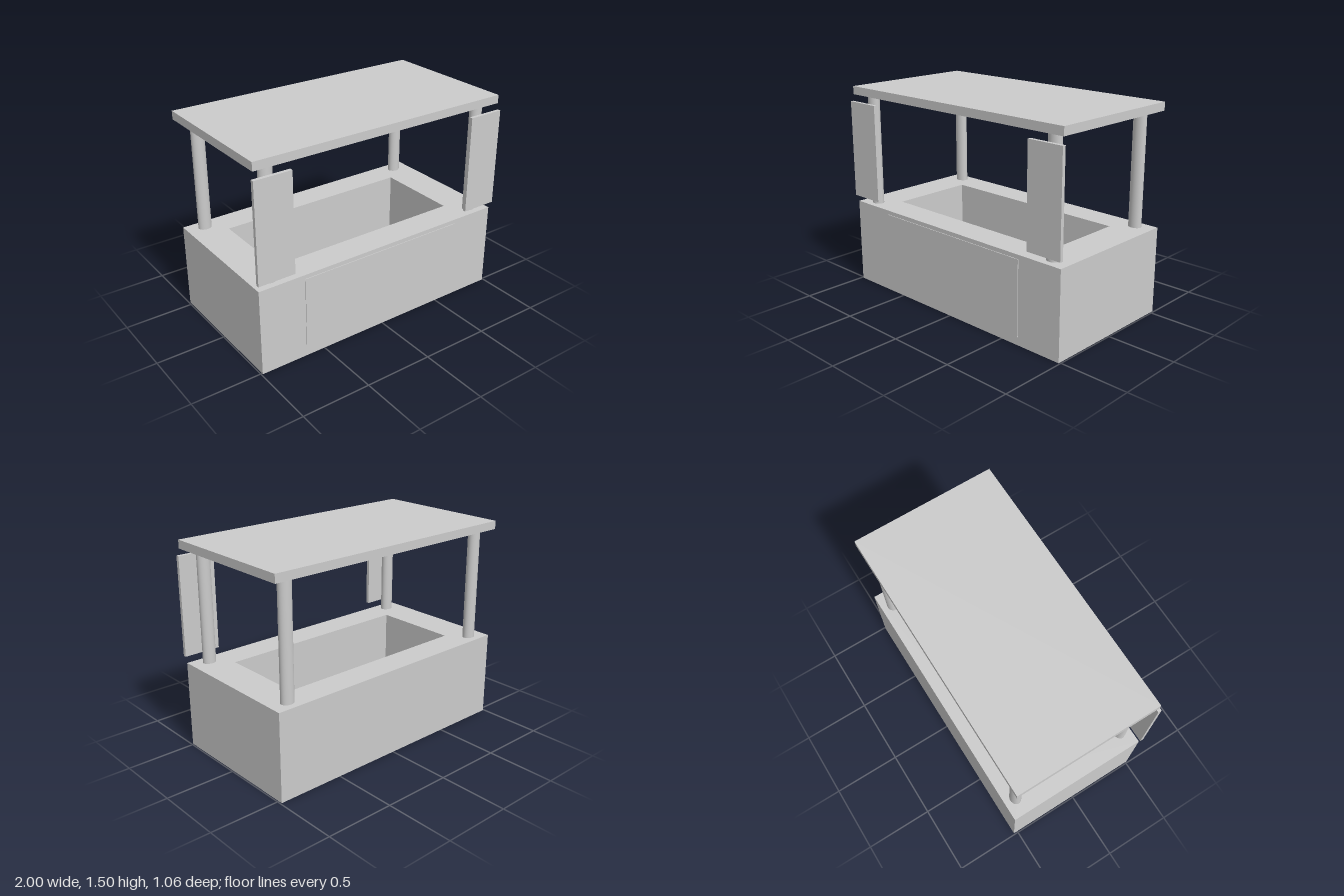
import * as THREE from 'three';

const material = new THREE.MeshStandardMaterial({ color: 0xcccccc });

// Outer footprint and central opening, as [xMin, xMax, zMin, zMax]
const OUTER = [-0.99, 0.99, -0.53, 0.51];
const OPENING = [-0.735, 0.735, -0.325, 0.3];

function add(group, name, geometry) {
  const mesh = new THREE.Mesh(geometry, material);
  mesh.name = name;
  group.add(mesh);
  return mesh;
}

// Box given by its limits on each axis
function box(group, name, [x0, x1, z0, z1], y0, y1) {
  const mesh = add(group, name, new THREE.BoxGeometry(x1 - x0, y1 - y0, z1 - z0));
  mesh.position.set((x0 + x1) / 2, (y0 + y1) / 2, (z0 + z1) / 2);
  return mesh;
}

// Corners in the shape plane, where shape y becomes -z
const corners = ([x0, x1, z0, z1]) =>
  [[x0, -z1], [x1, -z1], [x1, -z0], [x0, -z0]].map(([x, y]) => new THREE.Vector2(x, y));

// Rectangular slab with the opening cut right through it
function frame(group, name, y0, y1) {
  const shape = new THREE.Shape(corners(OUTER));
  shape.holes.push(new THREE.Path(corners(OPENING)));
  const geometry = new THREE.ExtrudeGeometry(shape, { depth: y1 - y0, bevelEnabled: false });
  geometry.rotateX(-Math.PI / 2);
  add(group, name, geometry).position.y = y0;
}

export function createModel() {
  const group = new THREE.Group();
  group.name = 'marketStall';

  // Counter with an open well and a thin panel on its front
  frame(group, 'counter', 0, 0.63);
  box(group, 'frontPanel', [-0.645, 0.645, 0.505, 0.515], 0.06, 0.6);

  // Roof: hollow frame closed by a thin top sheet
  frame(group, 'roofFrame', 1.445, 1.5);
  box(group, 'roofTop', OUTER, 1.5, 1.505);

  // Slightly oval corner posts, with a sign board before each front one
  for (const side of [-1, 1]) {
    const sideName = side > 0 ? 'left' : 'right';
    for (const [end, z] of [['Front', 0.428], ['Back', -0.446]]) {
      const post = add(group, `${sideName}${end}Post`,
        new THREE.CylinderGeometry(1, 1, 0.815, 32, 1, true));
      post.scale.set(0.048, 1, 0.039);
      post.position.set(side * 0.86, 0.63 + 0.815 / 2, z);
    }
    const board = box(group, `${sideName}SignBoard`, [0.73, 1, 0.505, 0.53], 0.68, 1.395);
    board.position.x *= side;
  }
  return group;
}
